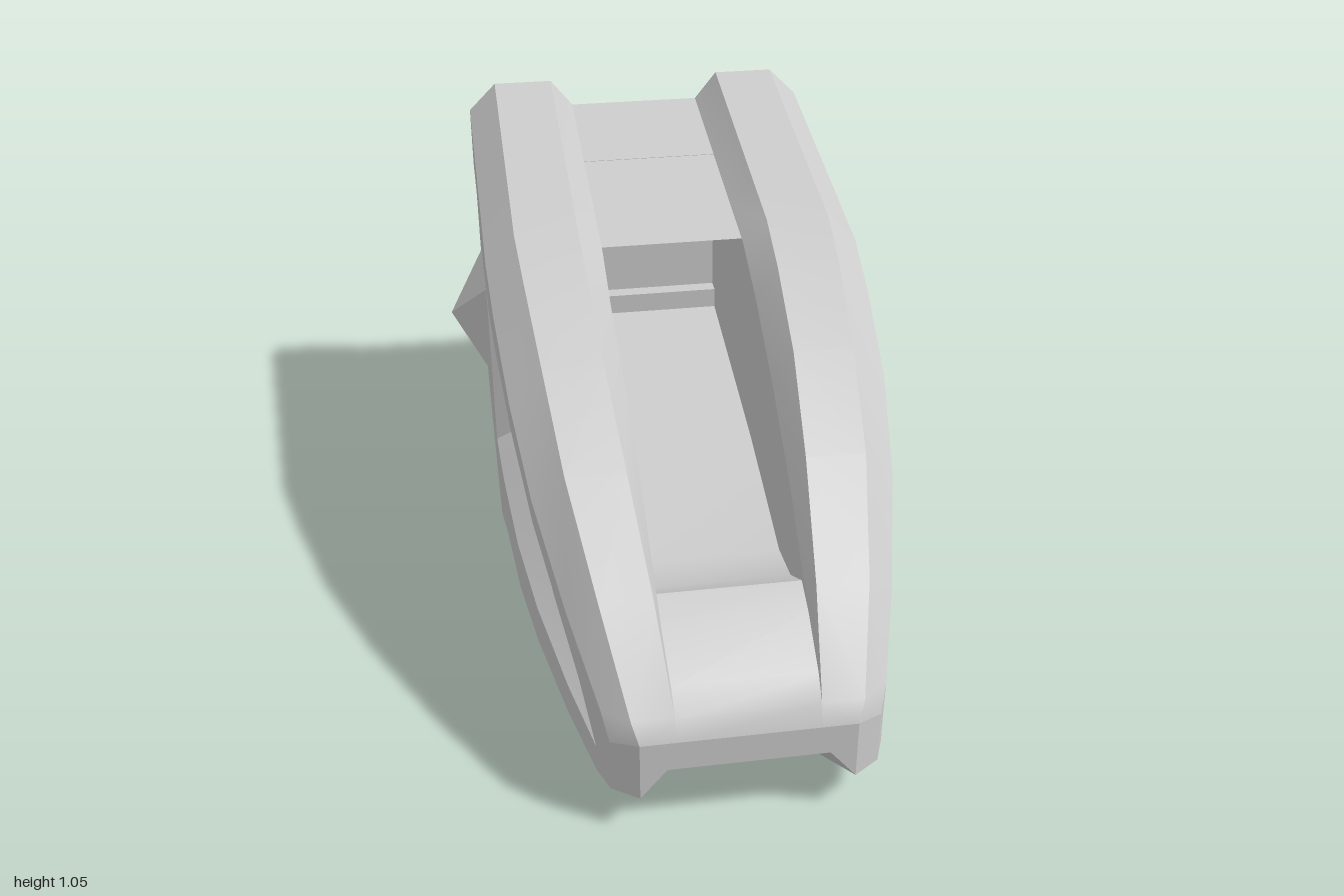
import * as THREE from 'three';

const material = new THREE.MeshStandardMaterial({ color: 0xcccccc, side: THREE.DoubleSide });

// Piecewise linear lookup in a table of [z, value] rows with falling z
function lookup(table, z) {
  for (let i = 1; i < table.length; i++) {
    const [z0, v0] = table[i - 1], [z1, v1] = table[i];
    if (z >= z1) return z0 === z1 ? v1 : v0 + (v1 - v0) * (z0 - z) / (z0 - z1);
  }
  return table[table.length - 1][1];
}

// Ruled surface between two polylines of equal length, smooth along its run
function strip(a, b) {
  const geo = new THREE.BufferGeometry();
  const index = [];
  a.forEach((_, i) => {
    const k = i * 2;
    if (i) index.push(k - 2, k - 1, k, k, k - 1, k + 1);
  });
  geo.setAttribute('position', new THREE.Float32BufferAttribute(a.flatMap((p, i) => [...p, ...b[i]]), 3));
  geo.setIndex(index);
  geo.computeVertexNormals();
  return geo;
}

const mirror = pts => pts.map(([x, y, z]) => [-x, y, z]);

export function createModel() {
  const model = new THREE.Group();
  const add = (name, geo) => {
    const mesh = new THREE.Mesh(geo, material);
    mesh.name = name;
    model.add(mesh);
    return mesh;
  };
  // Same strip on the left and right of the hull
  const pair = (name, a, b) => {
    add(name + 'Left', strip(a, b));
    add(name + 'Right', strip(mirror(a), mirror(b)));
  };

  // Long hull edges, nose to stern: outer shoulder, ridge outer, ridge inner, groove
  const shoulder = [[.30, .235, .96], [.315, .30, .93], [.368, .43, .75], [.42, .575, .52], [.45, .70, .3],
    [.468, .80, .05], [.475, .86, -.12], [.475, .886, -.29], [.475, .975, -.9]];
  const ridgeOuter = [[.24, .25, 1], [.255, .30, .98], [.30, .48, .8], [.345, .65, .55], [.37, .785, .3],
    [.39, .885, .05], [.40, .935, -.12], [.40, .96, -.29], [.40, 1.05, -.9]];
  const ridgeInner = [[.16, .25, 1], [.16, .30, .98], [.18, .48, .8], [.205, .65, .55], [.225, .785, .3],
    [.235, .885, .05], [.24, .935, -.12], [.24, .96, -.29], [.24, 1.05, -.9]];
  const groove = [[.16, .25, 1], [.16, .30, .98], [.165, .41, .8], [.17, .58, .55], [.175, .71, .3],
    [.18, .81, .05], [.18, .875, -.12], [.18, .899, -.29], [.18, .975, -.9]];
  pair('shoulderChamfer', ridgeOuter, shoulder);
  pair('ridgeTop', ridgeInner, ridgeOuter);
  pair('ridgeInnerSlope', groove, ridgeInner);

  // Side skin: x follows the plan curve, d is the depth below it
  const plan = shoulder.map(([x, , z]) => [z, x]);
  const side = (z, y, d = 0) => [lookup(plan, z) - d, y, z];
  const sides = rows => rows.map(r => side(...r));
  const recessTop = sides([[.9, .255], [.74, .37], [.52, .515], [.3, .63], [.05, .70], [-.12, .73], [-.29, .755]]);
  const recessBase = sides([[.9, .17], [.74, .215], [.52, .27], [.3, .30], [.05, .325], [-.06, .333], [-.13, .34]]);
  const panelTop = sides([[.9, .255], [.74, .36, .025], [.52, .49, .04], [.3, .59, .05], [.05, .66, .055],
    [-.12, .685, .055], [-.22, .705, .055]]);
  const panelBase = sides([[.9, .17], [.74, .235, .025], [.52, .305, .04], [.3, .345, .05], [.05, .375, .055],
    [-.04, .38, .055], [-.1, .385, .055]]);
  const chine = sides([[.9, .1], [.74, .13], [.52, .165], [.3, .17], [.05, .17], [-.06, .127], [-.13, .1]]);
  pair('sideUpper', shoulder.slice(1, 8), recessTop);
  pair('sideLower', recessBase, chine);
  pair('sideFront', sides([[.96, .1], [.96, .235], [.93, .3]]), sides([[.9, .1], [.9, .17], [.9, .255]]));
  pair('frontRecessPanel', panelTop, panelBase);
  pair('frontRecessUpperWall', recessTop, panelTop);
  pair('frontRecessLowerWall', recessBase, panelBase);
  pair('frontRecessEndWall', [recessTop[6], recessBase[6]], [panelTop[6], panelBase[6]]);
  pair('sideMiddle', sides([[-.29, .886], [-.29, .755], [-.13, .34], [-.13, .1]]),
    sides([[-.71, .947], [-.71, .795], [-.545, .34], [-.72, .1]]));

  // Rear side recess, open to the stern
  pair('sideRearUpper', sides([[-.71, .947], [-.71, .795]]), sides([[-.9, .975], [-.9, .81]]));
  pair('sideRearLower', sides([[-.545, .34], [-.72, .1]]), sides([[-.9, .335], [-.9, .17]]));
  const rim = sides([[-.9, .81], [-.71, .795], [-.545, .34], [-.9, .335]]);
  const bed = sides([[-.9, .755, .055], [-.745, .745, .055], [-.615, .395, .055], [-.9, .40, .055]]);
  for (let i = 0; i < 3; i++) pair('rearRecessWall' + i, rim.slice(i, i + 2), bed.slice(i, i + 2));
  pair('rearRecessPanel', [bed[0], bed[1]], [bed[3], bed[2]]);

  // Underside with its edge chamfers
  const floorEdge = [[.31, .9], [.325, .74], [.345, .52], [.365, .3], [.39, .05], [.43, -.06], [.475, -.13]];
  const flat = rows => rows.map(([x, z]) => [x, .1, z]);
  pair('undersideChamfer', chine, flat(floorEdge));
  pair('undersideRearChamfer', [[.475, .1, -.72], [.475, .1, -.72]], [[.475, .17, -.9], [.40, .1, -.9]]);
  pair('underside',
    flat([[.24, 1], [.13, .87], [0, .87], [0, .52], [0, .3], [0, .05], [0, -.06], [0, -.13], [0, -.6], [0, -.77], [.13, -.77], [.24, -.9]]),
    flat([[.30, .96], ...floorEdge, [.475, -.6], [.475, -.72], [.45, -.78], [.40, -.9]]));

  // Wedge pockets under the nose and stern
  for (const [name, z, s] of [['front', 1, -1], ['rear', -.9, 1]]) {
    const mouth = [[.24, .1, z], [.18, .175, z]];
    const end = [[.13, .1, z + s * .13], [.10, .175, z + s * .09]];
    pair(name + 'PocketSide', mouth, end);
    add(name + 'PocketEnd', strip(end, mirror(end)));
    add(name + 'PocketRoof', strip([mouth[1], end[1]], mirror([mouth[1], end[1]])));
  }

  // Blunt nose front and its corner chamfers
  pair('noseFront', [[0, .25, 1], [.16, .25, 1], [.24, .25, 1]], [[0, .175, 1], [.18, .175, 1], [.24, .1, 1]]);
  pair('noseCorner', [[.24, .25, 1], [.24, .1, 1]], [[.30, .235, .96], [.30, .1, .96]]);

  // Stern plate
  const half = [[.18, .975], [.24, 1.05], [.40, 1.05], [.475, .975], [.475, .81], [.42, .755], [.42, .40],
    [.475, .335], [.475, .17], [.40, .1], [.24, .1], [.18, .175]];
  const outline = [...half, ...half.map(([x, y]) => [-x, y]).reverse()].map(p => new THREE.Vector2(...p));
  add('sternPlate', new THREE.ShapeGeometry(new THREE.Shape(outline)).rotateY(Math.PI)).position.z = -.9;

  // Nose hood, cabin floor, bench and roof between the ridges
  const grooveX = groove.map(([x, , z]) => [z, x]), grooveY = groove.map(([, y, z]) => [z, y]);
  const across = (name, rows) => {
    const a = rows.map(([z, y]) => [lookup(grooveX, z), y, z]);
    add(name, strip(a, mirror(a)));
  };
  const floor = [[.72, .435], [.6, .36], [.46, .33], [.05, .39], [-.14, .42], [-.53, .48]];
  across('noseHood', [[1, .25], [.98, .30], [.93, .345], [.8, .41], [.72, .435]]);
  across('cabinFloor', floor);
  across('benchFront', [[-.53, .48], [-.53, .535]]);
  across('benchTop', [[-.53, .535], [-.57, .535]]);
  across('cabinBackWall', [[-.57, .535], [-.57, lookup(grooveY, -.57)]]);
  across('roof', [[-.14, lookup(grooveY, -.14)], [-.9, .975]]);
  const wallRows = [.8, .72, .6, .55, .46, .3, .05, -.12, -.29, -.57];
  const floorLine = [[.8, .41], ...floor, [-.57, .48]];
  pair('cabinWall', wallRows.map(z => [lookup(grooveX, z), lookup(grooveY, z), z]),
    wallRows.map(z => [lookup(grooveX, z), lookup(floorLine, z), z]));

  // Four-sided studs on the sides, stern and underside
  const stud = (name, pos, rx, rz, height) => {
    const cone = new THREE.ConeGeometry(.125 * Math.SQRT2, height, 4, 1, true).rotateY(Math.PI / 4)
      .translate(0, height / 2, 0).toNonIndexed();
    cone.computeVertexNormals();
    const mesh = add(name, cone);
    mesh.position.set(...pos);
    mesh.rotation.set(rx, 0, rz);
  };
  stud('studLeft', [.475, .575, -.425], 0, -Math.PI / 2, .095);
  stud('studRight', [-.475, .575, -.425], 0, Math.PI / 2, .095);
  stud('studStern', [0, .575, -.9], -Math.PI / 2, 0, .1);
  stud('studUnderFront', [0, .1, .525], Math.PI, 0, .1);
  stud('studUnderRear', [0, .1, -.425], Math.PI, 0, .1);
  return model;
}
